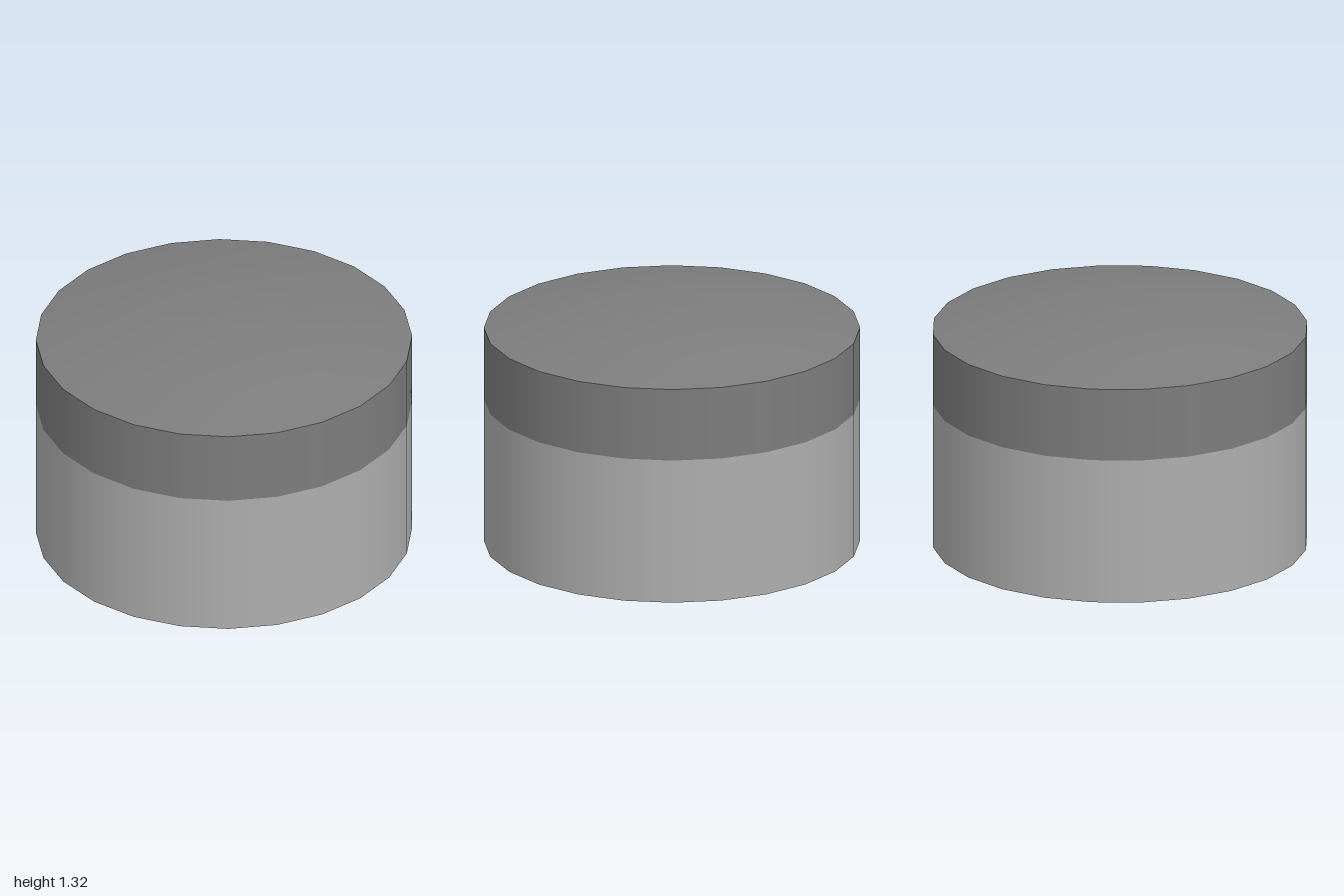
import * as THREE from 'three';

const SIDES = 24;

export function createModel() {
  const lightGrey = new THREE.MeshStandardMaterial({ name: 'lightGrey', color: 0xaeaeae });
  const darkGrey = new THREE.MeshStandardMaterial({ name: 'darkGrey', color: 0x7d7d7d });
  const group = new THREE.Group();
  group.name = 'domedCap';

  // Revolve one [radius, height] band; separate bands keep the edges between them sharp.
  // Rising profiles face outward, falling ones inward, widening flat ones downward.
  function band(name, material, points) {
    const profile = points.map(([r, y]) => new THREE.Vector2(r, y));
    const mesh = new THREE.Mesh(new THREE.LatheGeometry(profile, SIDES), material);
    mesh.name = name;
    group.add(mesh);
  }

  // Cap body: skirt, upper band and shallow dome
  band('skirt', lightGrey, [[1, 0], [1, 0.8]]);
  band('upperBand', darkGrey, [[1, 0.8], [1, 1.2]]);
  band('dome', darkGrey, [[1, 1.2], [0.67, 1.267], [0.34, 1.307], [0, 1.32]]);

  // Hollow underside
  band('bottomRim', lightGrey, [[0.92, 0], [1, 0]]);
  band('innerWall', lightGrey, [[0.92, 0.8], [0.92, 0]]);
  band('ceiling', darkGrey, [[0, 0.8], [0.92, 0.8]]);

  // Flared hollow stem hanging from the ceiling
  band('stemOuter', darkGrey, [[0.315, 0], [0.2, 0.8]]);
  band('stemInner', darkGrey, [[0.165, 0.8], [0.28, 0]]);
  band('stemRim', darkGrey, [[0.28, 0], [0.315, 0]]);

  return group;
}
